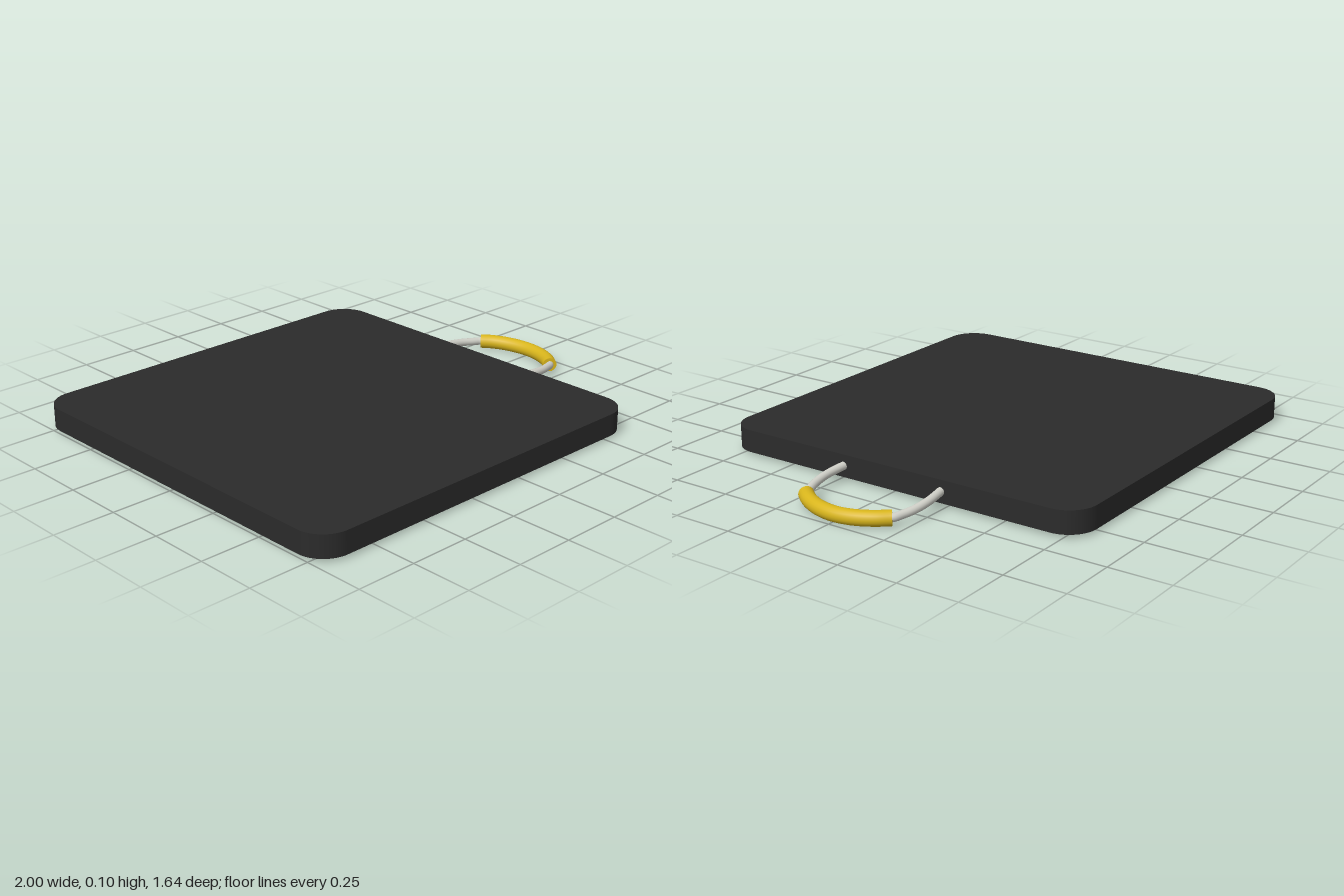
import * as THREE from 'three';

const mat = (name, color) => Object.assign(new THREE.MeshStandardMaterial({ color }), { name });

export function createModel() {
  const black = mat('black plastic', 0x2b2b2b);
  const yellow = mat('yellow grip', 0xd8b51c);
  const grey = mat('light grey rope', 0xd0d0c8);
  const group = new THREE.Group();
  group.name = 'outriggerPad';

  const add = (name, geometry, material) => {
    const mesh = new THREE.Mesh(geometry, material);
    mesh.name = name;
    group.add(mesh);
    return mesh;
  };

  // Square slab with rounded corners, drawn in plan and laid flat
  const x0 = -1, x1 = 0.64, h = 0.82, r = 0.12;
  const plan = new THREE.Shape();
  plan.absarc(x1 - r, h - r, r, 0, Math.PI / 2);
  plan.absarc(x0 + r, h - r, r, Math.PI / 2, Math.PI);
  plan.absarc(x0 + r, -h + r, r, Math.PI, Math.PI * 1.5);
  plan.absarc(x1 - r, -h + r, r, Math.PI * 1.5, Math.PI * 2);
  plan.closePath();
  const slab = new THREE.ExtrudeGeometry(plan, { depth: 0.092, bevelEnabled: false, curveSegments: 12 });
  slab.rotateX(-Math.PI / 2).translate(0, 0.013, 0);
  add('slab', slab, black);

  // Half of the handle's centreline, from inside the slab to the grip's middle
  const half = [
    [0.6, 0.062, 0.222], [0.66, 0.057, 0.231], [0.73, 0.05, 0.237], [0.8, 0.042, 0.23],
    [0.85, 0.037, 0.215], [0.888, 0.034, 0.2], [0.925, 0.033, 0.152], [0.957, 0.031, 0.08],
  ];
  const points = [
    ...half.map(([x, y, z]) => new THREE.Vector3(x, y, z)),
    new THREE.Vector3(0.969, 0.03, 0),
    ...half.map(([x, y, z]) => new THREE.Vector3(x, y, -z)).reverse(),
  ];
  add('ropeLoop', new THREE.TubeGeometry(new THREE.CatmullRomCurve3(points), 64, 0.0165, 16), grey);

  // Grip sleeve over the middle of the loop
  const sleeve = new THREE.CatmullRomCurve3(points.slice(5, -5));
  add('grip', new THREE.TubeGeometry(sleeve, 32, 0.03, 20), yellow);

  // Flat ends of the sleeve
  for (const [t, sign] of [[0, -1], [1, 1]]) {
    const cap = add('gripEnd', new THREE.CircleGeometry(0.03, 20), yellow);
    const out = sleeve.getTangentAt(t).multiplyScalar(sign);
    cap.position.copy(sleeve.getPointAt(t));
    cap.quaternion.setFromUnitVectors(new THREE.Vector3(0, 0, 1), out);
  }

  return group;
}
